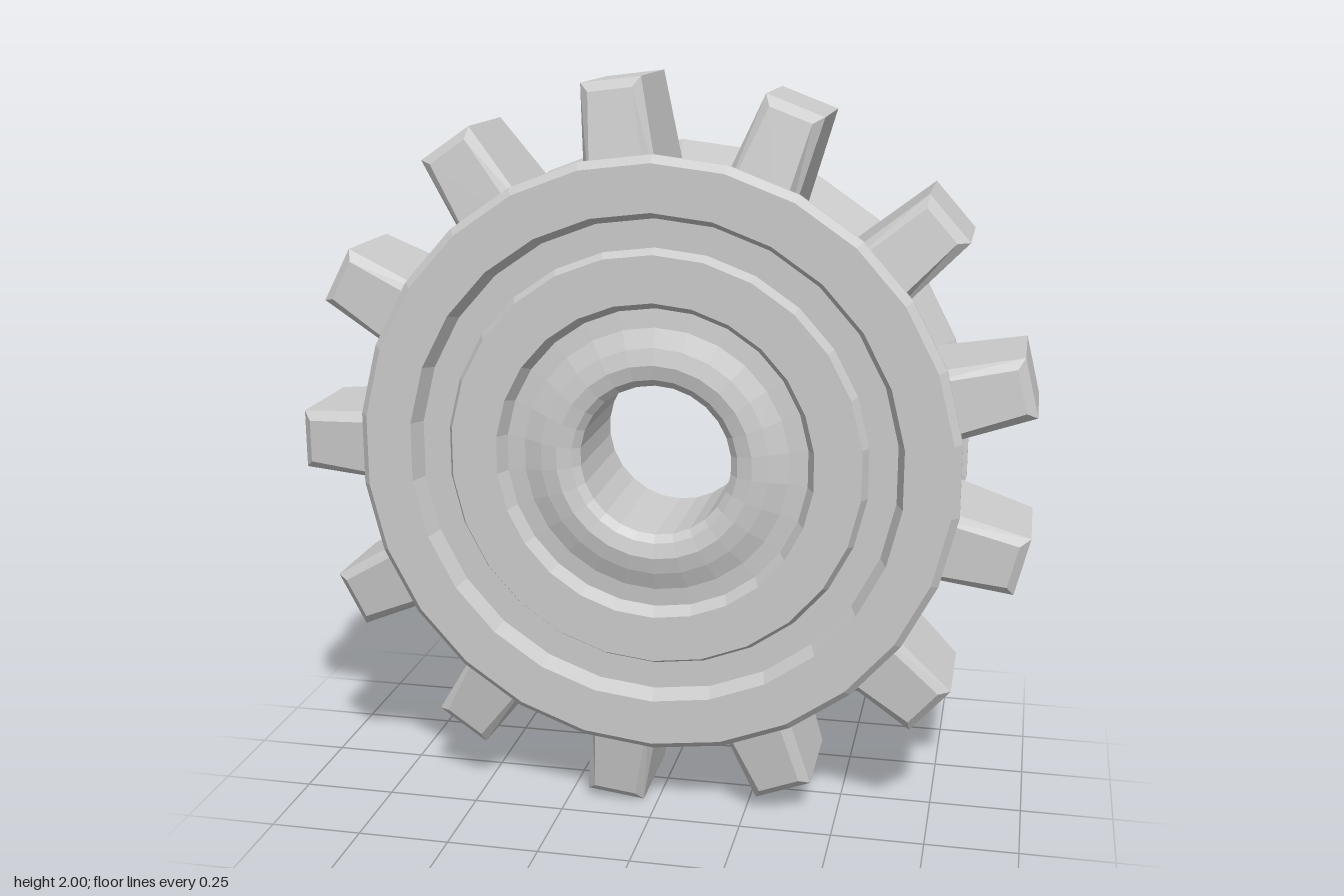
import * as THREE from 'three';

const TEETH = 13;

// Hub and rims: front half of the cross-section as [radius, z], from valley to bore
const HALF = [
  [0.71, 0.16], [0.81, 0.195], [0.81, 0.205], [0.79, 0.225], // valley wall and rim lip
  [0.665, 0.225], [0.645, 0.175], [0.57, 0.175],             // outer groove
  [0.555, 0.205], [0.43, 0.205], [0.41, 0.165],              // raised ring
  [0.36, 0.17], [0.31, 0.19], [0.265, 0.2], [0.225, 0.19], [0.205, 0.17], // rounded collar
];

function wheelGeometry() {
  const back = HALF.map(([r, z]) => new THREE.Vector2(r, -z)).reverse();
  const front = HALF.map(([r, z]) => new THREE.Vector2(r, z));
  const geo = new THREE.LatheGeometry([...back, ...front, back[0].clone()], TEETH * 2);
  return geo.rotateX(Math.PI / 2);
}

// Tooth pointing along +x: four outlines stacked in z, the outer two inset as bevels
function toothGeometry() {
  const full = { base: [0.69, 0.1, 0.175], tip: [0.997, 0.08, 0.142] };
  const face = { base: [0.69, 0.077, 0.218], tip: [0.973, 0.058, 0.168] };
  const layer = ({ base, tip }, s) => [
    [base[0], -base[1], s * base[2]], [tip[0], -tip[1], s * tip[2]],
    [tip[0], tip[1], s * tip[2]], [base[0], base[1], s * base[2]],
  ];
  const layers = [layer(face, -1), layer(full, -1), layer(full, 1), layer(face, 1)];
  const pos = [];
  const quad = (a, b, c, d) => pos.push(...a, ...b, ...c, ...a, ...c, ...d);
  for (let i = 0; i < 3; i++) {
    for (let j = 0; j < 4; j++) {
      const k = (j + 1) % 4;
      quad(layers[i][j], layers[i][k], layers[i + 1][k], layers[i + 1][j]);
    }
  }
  quad(...layers[3]);
  quad(...layers[0].slice().reverse());
  const geo = new THREE.BufferGeometry();
  geo.setAttribute('position', new THREE.Float32BufferAttribute(pos, 3));
  geo.computeVertexNormals();
  return geo;
}

export function createModel() {
  const material = new THREE.MeshStandardMaterial({ color: 0xcccccc, flatShading: true });
  const group = new THREE.Group();
  group.name = 'sprocketWheel';

  const wheel = new THREE.Mesh(wheelGeometry(), material);
  wheel.name = 'wheelBody';
  group.add(wheel);

  // Ring of teeth
  const teeth = new THREE.Group();
  teeth.name = 'teeth';
  const geo = toothGeometry();
  for (let i = 0; i < TEETH; i++) {
    const tooth = new THREE.Mesh(geo, material);
    tooth.name = 'tooth' + (i + 1);
    tooth.rotation.z = Math.PI + (i * 2 * Math.PI) / TEETH;
    teeth.add(tooth);
  }
  group.add(teeth);

  group.position.y = 1;
  const root = new THREE.Group();
  root.name = 'sprocket';
  root.add(group);
  return root;
}
